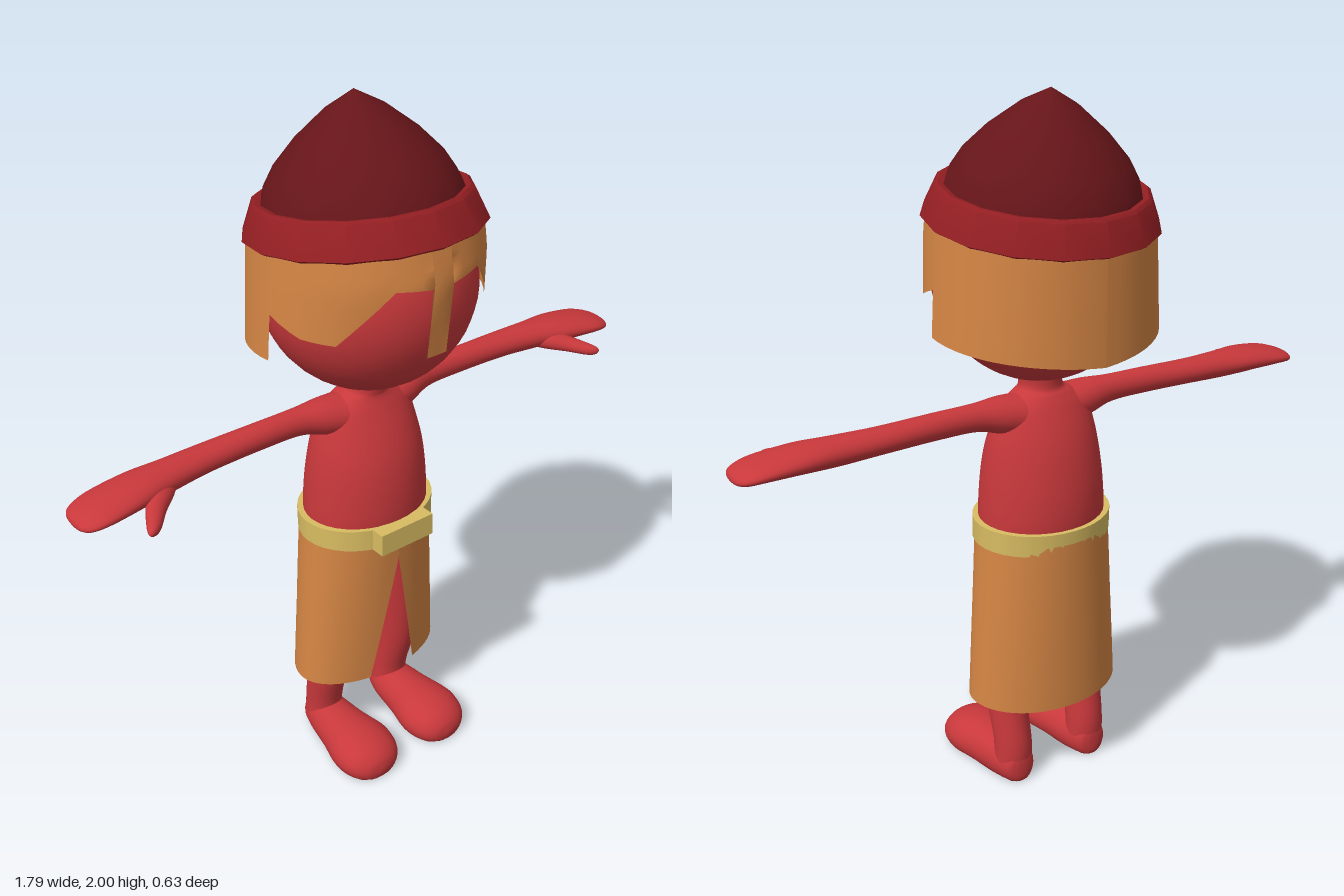
import * as THREE from 'three';
import { toCreasedNormals } from 'three/addons/utils/BufferGeometryUtils.js';

const material = (color) => new THREE.MeshStandardMaterial({ color, side: THREE.DoubleSide });
const skin = material(0xc8383b);
const cloth = material(0xd48544);
const gold = material(0xd8bc62);
const darkRed = material(0x661519);
const brimRed = material(0x921e22);

function buildGeometry(positions, indices) {
  const geo = new THREE.BufferGeometry();
  geo.setAttribute('position', new THREE.Float32BufferAttribute(positions, 3));
  geo.setIndex(indices);
  geo.computeVertexNormals();
  return geo;
}

// Closed smooth body along an axis (0 = x, 1 = y, 2 = z).
// Each row: [position on axis, centre on next two axes, radii on next two axes]
function loft(axis, rows, sides = 28, steps = 5, floor = -1) {
  const centres = new THREE.CatmullRomCurve3(rows.map((r) => new THREE.Vector3(r[0], r[1], r[2])), false, 'catmullrom');
  const radii = new THREE.CatmullRomCurve3(rows.map((r) => new THREE.Vector3(r[3], r[4], 0)), false, 'catmullrom');
  const positions = [], indices = [], n = (rows.length - 1) * steps;
  const a = (axis + 1) % 3, b = (axis + 2) % 3;
  const add = (t, p, q) => {
    const v = [0, 0, 0];
    v[axis] = t; v[a] = p; v[b] = q;
    v[1] = Math.max(v[1], floor);
    positions.push(...v);
  };
  for (let i = 0; i <= n; i++) {
    const c = centres.getPoint(i / n), r = radii.getPoint(i / n);
    for (let j = 0; j < sides; j++) {
      const ang = (j / sides) * Math.PI * 2;
      add(c.x, c.y + Math.cos(ang) * r.x, c.z + Math.sin(ang) * r.y);
      if (i < n) {
        const k = i * sides + j, m = i * sides + (j + 1) % sides;
        indices.push(k, m, k + sides, m, m + sides, k + sides);
      }
    }
  }
  // end caps
  const first = rows[0], last = rows[rows.length - 1], base = (n + 1) * sides;
  add(first[0], first[1], first[2]);
  add(last[0], last[1], last[2]);
  for (let j = 0; j < sides; j++) {
    const m = (j + 1) % sides;
    indices.push(base, m, j, base + 1, n * sides + j, n * sides + m);
  }
  return buildGeometry(positions, indices);
}

// Open sheet; u runs around the body from the front, v runs downward
function sheet(nu, nv, point) {
  const positions = [], indices = [];
  for (let i = 0; i <= nv; i++) {
    for (let j = 0; j <= nu; j++) {
      positions.push(...point(j, i / nv));
      if (i < nv && j < nu) {
        const k = i * (nu + 1) + j, d = k + nu + 1;
        indices.push(k, d, k + 1, k + 1, d, d + 1);
      }
    }
  }
  return buildGeometry(positions, indices);
}

function mirrored(geo) {
  const g = geo.clone().scale(-1, 1, 1);
  const idx = g.index.array;
  for (let i = 0; i < idx.length; i += 3) [idx[i], idx[i + 1]] = [idx[i + 1], idx[i]];
  return g;
}

const lathe = (points, sides) =>
  new THREE.LatheGeometry(points.map(([x, y]) => new THREE.Vector2(x, y)), sides);

export function createModel() {
  const model = new THREE.Group();
  const add = (name, geo, mat, parent = model) => {
    const mesh = new THREE.Mesh(geo, mat);
    mesh.name = name;
    parent.add(mesh);
    return mesh;
  };
  const addPair = (name, geo, mat) => {
    add('left' + name, geo, mat);
    add('right' + name, mirrored(geo), mat);
  };

  // Torso with neck, and head
  add('torso', loft(1, [
    [0.63, 0, 0, 0.08, 0.12], [0.70, 0, 0, 0.125, 0.165], [0.80, 0, 0, 0.155, 0.186],
    [0.90, 0, 0, 0.156, 0.183], [1.0, 0, 0, 0.141, 0.173], [1.08, -0.003, 0, 0.116, 0.158],
    [1.15, -0.004, 0, 0.084, 0.135], [1.185, -0.002, 0, 0.066, 0.095],
    [1.205, 0.004, 0, 0.06, 0.062], [1.26, 0.005, 0, 0.065, 0.065],
  ], 36), skin);
  add('head', new THREE.SphereGeometry(0.29, 32, 24).translate(0, 1.515, 0.01), skin);

  // Arms with mitten hands and thumbs
  addPair('Arm', loft(0, [
    [0.06, 1.13, -0.005, 0.06, 0.07], [0.14, 1.142, -0.008, 0.052, 0.055],
    [0.22, 1.152, -0.012, 0.039, 0.038], [0.34, 1.153, -0.013, 0.037, 0.037],
    [0.50, 1.15, -0.014, 0.036, 0.044], [0.62, 1.147, -0.008, 0.038, 0.053],
    [0.72, 1.146, 0, 0.035, 0.069], [0.82, 1.139, 0.008, 0.026, 0.075],
    [0.87, 1.131, 0.01, 0.019, 0.064], [0.89, 1.128, 0.01, 0.012, 0.042], [0.896, 1.127, 0.01, 0.003, 0.012],
  ]), skin);
  addPair('Thumb', loft(2, [
    [0.0, 0.64, 1.14, 0.05, 0.025], [0.05, 0.675, 1.133, 0.042, 0.024],
    [0.09, 0.71, 1.124, 0.03, 0.02], [0.13, 0.738, 1.117, 0.022, 0.016],
    [0.148, 0.75, 1.115, 0.014, 0.011], [0.154, 0.755, 1.115, 0.003, 0.003],
  ], 16, 3), skin);

  // Legs and flat-soled feet
  addPair('Leg', loft(1, [
    [0.04, -0.04, 0.128, 0.058, 0.058], [0.12, -0.042, 0.128, 0.057, 0.056],
    [0.27, -0.012, 0.13, 0.066, 0.058], [0.45, 0, 0.12, 0.075, 0.065], [0.67, 0, 0.1, 0.085, 0.075],
  ], 24), skin);
  addPair('Foot', loft(2, [
    [-0.1, 0.128, 0.045, 0.015, 0.03], [-0.085, 0.128, 0.045, 0.045, 0.055],
    [-0.03, 0.128, 0.045, 0.065, 0.065], [0.06, 0.13, 0.042, 0.08, 0.07],
    [0.15, 0.131, 0.04, 0.1, 0.071], [0.215, 0.131, 0.035, 0.088, 0.06],
    [0.25, 0.13, 0.03, 0.055, 0.038], [0.262, 0.13, 0.028, 0.012, 0.01],
  ], 28, 5, 0), skin);

  // Skirt: open tube split by a wedge at the front
  const around = 48;
  add('skirt', sheet(around, 20, (j, v) => {
    const y = 0.785 - v * 0.515;
    const rx = 0.2 + v * 0.036;
    const gap = Math.asin(Math.max(0, (0.7 - y) / 0.42 * 0.078) / rx);
    const ang = gap + (2 * Math.PI - 2 * gap) * (j / around);
    const c = Math.cos(ang);
    const rz = c > 0 ? 0.16 - v * 0.02 : 0.17;
    return [Math.sin(ang) * rx, y + v * c * 0.008, c * rz];
  }), cloth);

  // Belt and buckle
  const belt = new THREE.Group();
  belt.name = 'belt';
  belt.position.y = 0.796;
  belt.rotation.x = -0.03;
  model.add(belt);
  add('beltBand', new THREE.CylinderGeometry(1, 1, 0.064, 36).scale(0.205, 1, 0.17), gold, belt);
  add('buckle', new THREE.BoxGeometry(0.18, 0.066, 0.045).translate(0, 0, 0.172), gold, belt);

  // Hair: curtain with eye openings, nose strip and long back; [angle from front, lower edge]
  const edge = [[0, 1.41], [0.097, 1.41], [0.098, 1.605], [0.43, 1.615], [0.86, 1.47],
    [1.17, 1.475], [1.5, 1.51], [1.501, 1.385], [Math.PI, 1.335]];
  const half = [];
  for (let i = 0; i < edge.length - 1; i++) {
    const [a0, y0] = edge[i], [a1, y1] = edge[i + 1];
    const n = Math.max(1, Math.ceil((a1 - a0) / 0.12));
    for (let k = 0; k < n; k++) half.push([a0 + (a1 - a0) * k / n, y0 + (y1 - y0) * k / n]);
  }
  const columns = [...half.slice(1).reverse().map(([a, y]) => [-a, y]), ...half];
  columns.unshift([-Math.PI, 1.335]);
  columns.push([Math.PI, 1.335]);
  add('hair', sheet(columns.length - 1, 8, (j, v) => {
    const [ang, low] = columns[j];
    const c = Math.cos(ang);
    const y = THREE.MathUtils.lerp(1.672 + 0.04 * c, low, v);
    const rx = 0.303 + (1.68 - y) * 0.07;
    const rz = c > 0 ? 0.314 - Math.max(0, 1.6 - y) * 0.11 - Math.max(0, y - 1.62) * 0.2 : 0.302;
    return [Math.sin(ang) * rx, y, c * rz];
  }), cloth);

  // Hat: pointed crown and sloping brim, tipped backward
  const hat = new THREE.Group();
  hat.name = 'hat';
  hat.position.set(0, 1.657, 0);
  hat.rotation.x = -0.134;
  model.add(hat);
  add('hatBrim', toCreasedNormals(lathe([[0.305, 0], [0.318, 0.008], [0.285, 0.088], [0.275, 0.095], [0.25, 0.09]], 16), 0.6), brimRed, hat);
  const crown = lathe([[0.262, 0.085], [0.252, 0.115], [0.22, 0.168], [0.158, 0.235], [0.075, 0.303], [0, 0.345]], 16);
  add('hatCrown', crown, darkRed, hat);

  return model;
}
